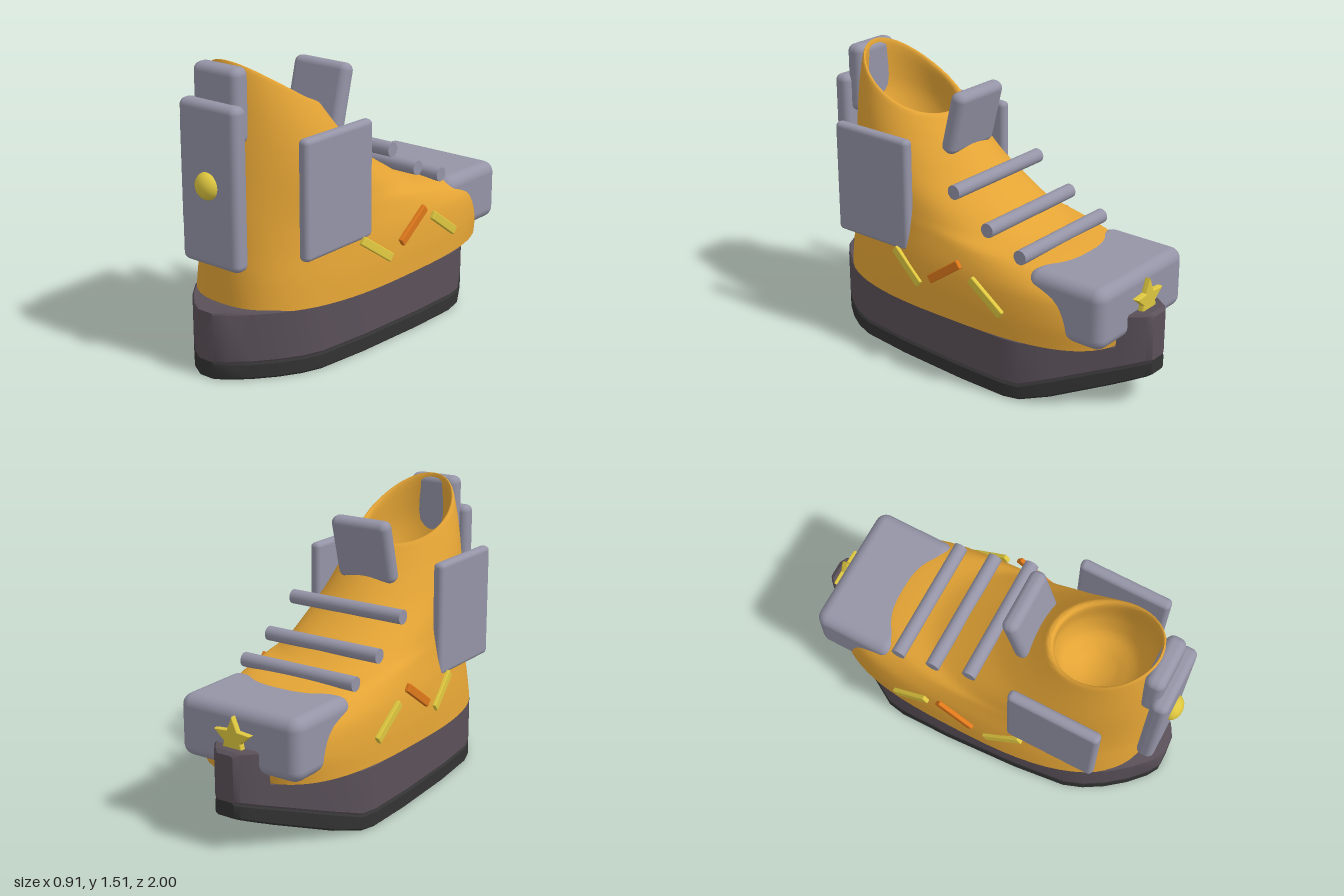
import * as THREE from 'three';
import { toCreasedNormals } from 'three/addons/utils/BufferGeometryUtils.js';
import { RoundedBoxGeometry } from 'three/addons/geometries/RoundedBoxGeometry.js';

const mat = (name, color, side = THREE.FrontSide) =>
  Object.assign(new THREE.MeshStandardMaterial({ color, side }), { name });

// Skin a list of equal-length rings and close both ends with fans
function loft(rings, crease) {
  const n = rings[0].length, pos = [], idx = [];
  rings.forEach(r => r.forEach(p => pos.push(p.x, p.y, p.z)));
  for (let i = 0; i < rings.length - 1; i++) {
    for (let j = 0; j < n; j++) {
      const k = (j + 1) % n, a = i * n, b = a + n;
      idx.push(a + j, a + k, b + k, a + j, b + k, b + j);
    }
  }
  [0, rings.length - 1].forEach((i, end) => {
    const c = rings[i].reduce((s, p) => s.add(p), new THREE.Vector3()).divideScalar(n);
    const ci = pos.length / 3;
    pos.push(c.x, c.y, c.z);
    for (let j = 0; j < n; j++) {
      const a = i * n + j, b = i * n + (j + 1) % n;
      if (end) idx.push(ci, a, b); else idx.push(ci, b, a);
    }
  });
  const g = new THREE.BufferGeometry();
  g.setAttribute('position', new THREE.Float32BufferAttribute(pos, 3));
  g.setIndex(idx);
  return toCreasedNormals(g, crease);
}

// Chamfered rectangular cross-section of the sole
function soleSection(z, w, y0, y1) {
  const c = 0.01, x = w - c;
  return [[x, y0], [w, y0 + c], [w, y1 - c], [x, y1], [-x, y1], [-w, y1 - c], [-w, y0 + c], [-x, y0]]
    .map(([px, py]) => new THREE.Vector3(px, py, z));
}

// Shoe shell: a toe-side and a heel-side curve carry the rings from the base up to the collar and inside
function upperGeometry() {
  // toe z, toe y, heel z, heel y, half width, toe squareness, heel squareness
  const rows = [
    [-0.87, 0.33, 0.885, 0.33, 0.447, 3, 2.5],
    [-0.89, 0.45, 0.885, 0.47, 0.44, 3, 2.35],
    [-0.84, 0.58, 0.885, 0.6, 0.422, 3, 2.2],
    [-0.6, 0.68, 0.885, 0.75, 0.39, 2.8, 2.1],
    [-0.35, 0.725, 0.88, 0.9, 0.372, 2.5, 2],
    [-0.17, 0.82, 0.87, 1.05, 0.352, 2.3, 2],
    [0, 0.935, 0.86, 1.18, 0.325, 2.1, 2],
    [0.15, 1.08, 0.85, 1.3, 0.29, 2, 2],
    [0.24, 1.18, 0.84, 1.4, 0.26, 2, 2],
    [0.28, 1.225, 0.825, 1.5, 0.235, 2, 2],
    [0.31, 1.21, 0.812, 1.48, 0.215, 2, 2],
    [0.31, 1.08, 0.812, 1.25, 0.22, 2, 2],
    [0.36, 0.97, 0.74, 1.05, 0.18, 2, 2],
    [0.48, 0.92, 0.62, 0.95, 0.07, 2, 2]
  ];
  const curve = (a, b, c) => new THREE.CatmullRomCurve3(
    rows.map(r => new THREE.Vector3(r[a], r[b], r[c])), false, 'catmullrom', 0.4);
  const toe = curve(4, 1, 0), heel = curve(5, 3, 2), square = curve(6, 6, 6);
  const rings = [], steps = (rows.length - 1) * 4, N = 64;
  for (let i = 0; i <= steps; i++) {
    const t = toe.getPoint(i / steps), h = heel.getPoint(i / steps), q = square.getPoint(i / steps).x;
    const ring = [];
    for (let j = 0; j < N; j++) {
      const a = j / N * Math.PI * 2, s = Math.sin(a), c = Math.cos(a);
      const e = 2 / (c >= 0 ? q : h.x);
      const u = 0.5 + 0.5 * Math.sign(c) * Math.abs(c) ** e;
      ring.push(new THREE.Vector3(
        t.x * Math.sign(s) * Math.abs(s) ** e,
        t.y + (h.y - t.y) * Math.max(u, 0) ** 1.45,
        t.z + (h.z - t.z) * u));
    }
    rings.push(ring);
  }
  return loft(rings, 0.9);
}

// Five-pointed star with bevelled edges
function starGeometry() {
  const s = new THREE.Shape();
  for (let i = 0; i < 10; i++) {
    const r = i % 2 ? 0.046 : 0.105, a = Math.PI / 2 + i * Math.PI / 5;
    s[i ? 'lineTo' : 'moveTo'](r * Math.cos(a), r * Math.sin(a));
  }
  s.closePath();
  return new THREE.ExtrudeGeometry(s, {
    depth: 0.016, bevelThickness: 0.008, bevelSize: 0.005, bevelSegments: 2
  }).translate(0, 0, -0.008);
}

export function createModel() {
  const model = new THREE.Group();
  model.name = 'shoe';
  const amber = mat('amber', 0xe4a435, THREE.DoubleSide);
  const grey = mat('grey', 0x9594a7);
  const plum = mat('plum', 0x5a5059);
  const black = mat('black', 0x333333);
  const gold = mat('gold', 0xdec73f);
  const orange = mat('orange', 0xde781b);

  const add = (name, geo, material, x = 0, y = 0, z = 0) => {
    const m = new THREE.Mesh(geo, material);
    m.name = name;
    m.position.set(x, y, z);
    model.add(m);
    return m;
  };
  const box = (w, h, d, r) => new RoundedBoxGeometry(w, h, d, 4, r);

  // Sole stations: z, half width, outsole bottom, seam, midsole top
  const stations = [
    [-1, 0.05, 0.175, 0.252, 0.485],
    [-0.98, 0.075, 0.165, 0.245, 0.5],
    [-0.9, 0.135, 0.135, 0.219, 0.495],
    [-0.87, 0.155, 0.125, 0.21, 0.46],
    [-0.86, 0.162, 0.12, 0.207, 0.33],
    [-0.6, 0.34, 0.035, 0.127, 0.33],
    [-0.47, 0.415, 0.006, 0.088, 0.33],
    [-0.38, 0.43, 0, 0.085, 0.33],
    [-0.1, 0.428, 0, 0.085, 0.33],
    [0.3, 0.405, 0, 0.085, 0.335],
    [0.58, 0.372, 0, 0.085, 0.335],
    [0.68, 0.335, 0, 0.085, 0.34],
    [0.78, 0.275, 0, 0.085, 0.34],
    [0.88, 0.195, 0, 0.085, 0.34],
    [0.96, 0.11, 0, 0.085, 0.34],
    [0.995, 0.05, 0, 0.085, 0.335]
  ];
  add('outsole', loft(stations.map(([z, w, low, seam]) => soleSection(z, w, low, seam)), 0.6), black);
  add('midsole', loft(stations.map(([z, w, , seam, top]) => soleSection(z, w, seam, top)), 0.6), plum);

  add('upper', upperGeometry(), amber);

  // Toe cap and star
  add('toeCap', box(0.705, 0.315, 0.45, 0.06), grey, 0, 0.528, -0.68);
  add('toeStar', starGeometry(), gold, 0, 0.54, -0.925);

  // Laces and tongue
  [[0.955, 0], [0.81, -0.21], [0.725, -0.412]].forEach(([y, z]) => {
    add('lace', new THREE.CylinderGeometry(0.037, 0.037, 0.67, 20).rotateZ(Math.PI / 2), grey, 0, y, z);
  });
  add('tongue', box(0.34, 0.34, 0.085, 0.038), grey, 0, 1.22, 0.16).rotation.x = -0.25;

  // Heel plate, pull tab and button
  add('heelPlate', box(0.36, 0.79, 0.09, 0.035), grey, 0, 0.937, 0.91);
  add('pullTab', box(0.28, 0.36, 0.1, 0.04), grey, 0, 1.315, 0.85);
  add('heelButton', new THREE.SphereGeometry(0.067, 32, 20), gold, 0, 0.94, 0.95).scale.z = 0.75;

  // Ankle plates and stitches on both sides
  // stitch: x, y, z, slope, inward turn, material
  const stitches = [
    [0.425, 0.525, 0.235, 0.62, 0.13, gold],
    [0.445, 0.58, -0.03, -0.62, 0, orange],
    [0.443, 0.52, -0.29, 0.62, 0, gold]
  ];
  for (const s of [1, -1]) {
    add('anklePlate', box(0.06, 0.59, 0.485, 0.025), grey, s * 0.38, 0.885, 0.487);
    stitches.forEach(([x, y, z, slope, turn, material]) => {
      add('stitch', box(0.024, 0.045, 0.235, 0.006), material, s * x, y, z).rotation.set(-slope, -s * turn, 0);
    });
  }
  return model;
}
